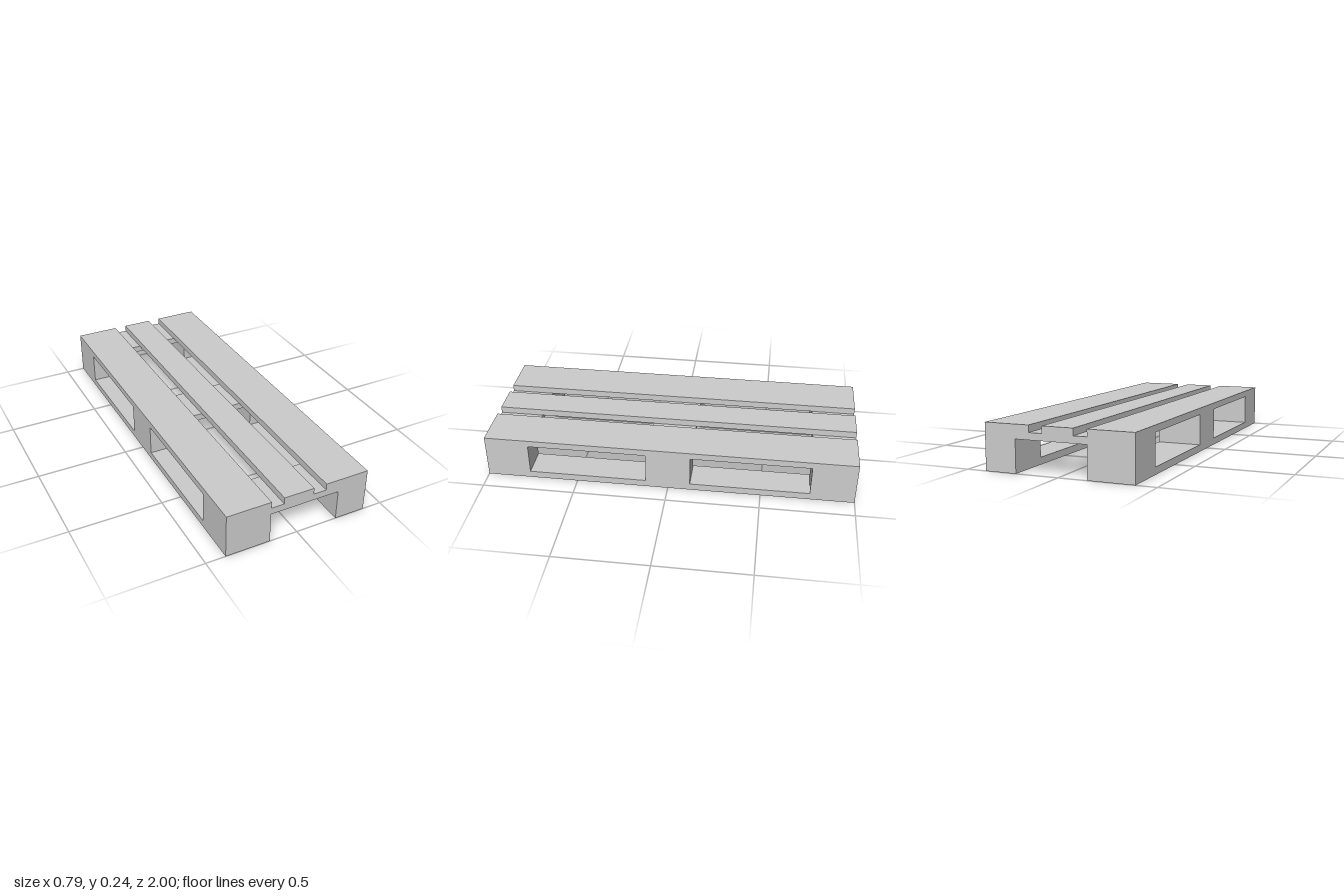
import * as THREE from 'three';

export function createModel() {
  const pallet = new THREE.Group();
  pallet.name = 'pallet';
  const material = new THREE.MeshStandardMaterial({ color: 0xcccccc, flatShading: true });

  // Board or block given by its extents on each axis
  function addBox(name, [x0, x1], [y0, y1], [z0, z1]) {
    const mesh = new THREE.Mesh(new THREE.BoxGeometry(x1 - x0, y1 - y0, z1 - z0), material);
    mesh.position.set((x0 + x1) / 2, (y0 + y1) / 2, (z0 + z1) / 2);
    mesh.name = name;
    pallet.add(mesh);
  }

  const length = [-1, 1];
  const bottomLayer = [0, 0.038];
  const blockLayer = [0.038, 0.168];
  const crossLayer = [0.168, 0.204];
  const deckLayer = [0.204, 0.24];
  const stations = { back: [-1, -0.762], middle: [-0.12, 0.12], front: [0.762, 1] };

  // The left runner is narrower than the right one
  const runners = { right: [-0.394, -0.153], left: [0.227, 0.394] };
  for (const [side, width] of Object.entries(runners)) {
    addBox(side + 'BottomBoard', width, bottomLayer, length);
    for (const [place, depth] of Object.entries(stations)) {
      addBox(side + ' ' + place + ' block', width, blockLayer, depth);
    }
  }

  // Cross boards tie the runners together
  for (const [place, depth] of Object.entries(stations)) {
    addBox(place + 'CrossBoard', [-0.394, 0.394], crossLayer, depth);
  }

  // Three deck boards along the full length
  addBox('rightDeckBoard', [-0.394, -0.153], deckLayer, length);
  addBox('middleDeckBoard', [-0.083, 0.083], deckLayer, length);
  addBox('leftDeckBoard', [0.153, 0.394], deckLayer, length);

  return pallet;
}
